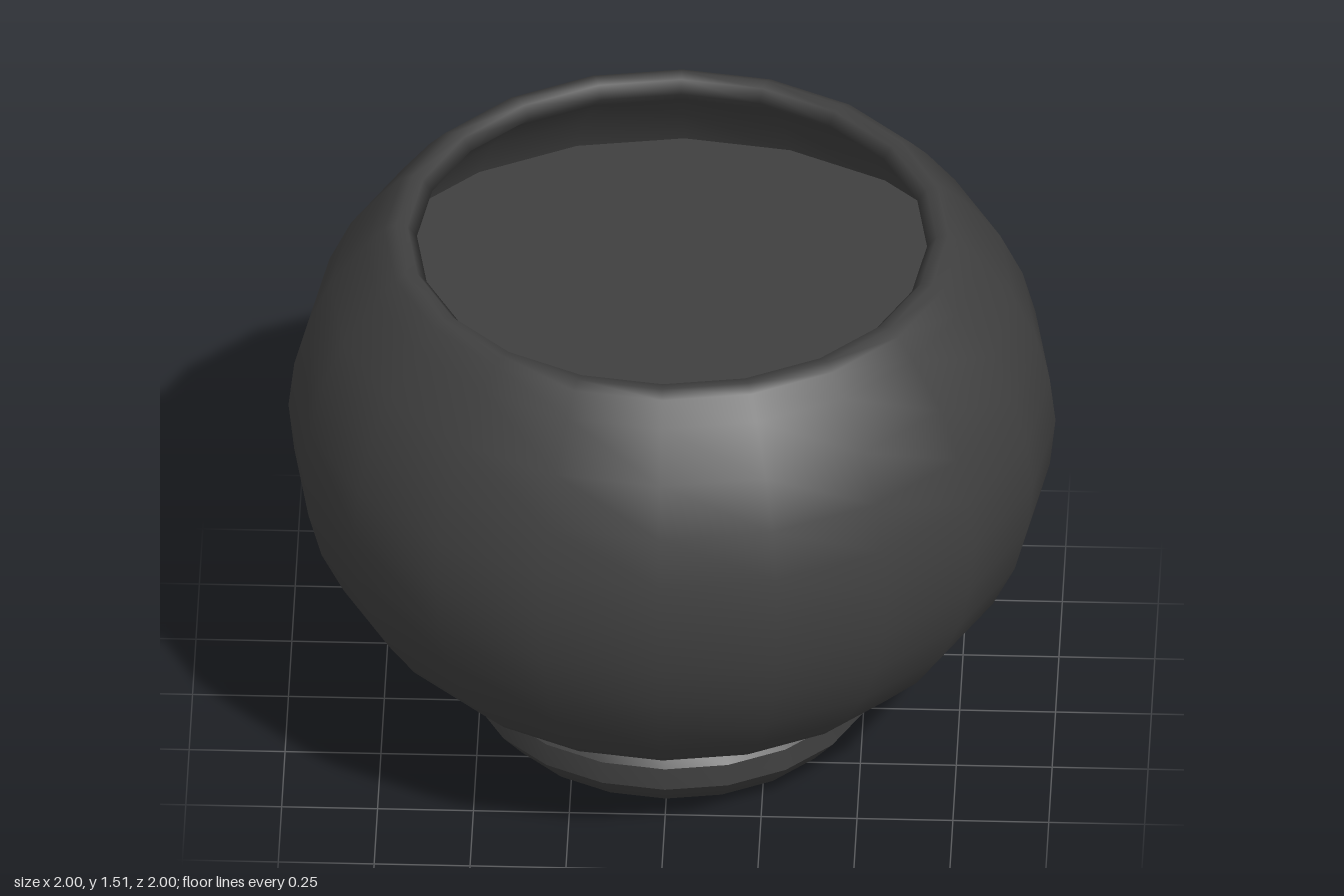
import * as THREE from 'three';
import { toCreasedNormals } from 'three/addons/utils/BufferGeometryUtils.js';

const SIDES = 20;

// Turn a list of [radius, height] pairs around the y axis
function turn(profile) {
  return new THREE.LatheGeometry(profile.map(([r, y]) => new THREE.Vector2(r, y)), SIDES);
}

export function createModel() {
  const group = new THREE.Group();
  const material = new THREE.MeshStandardMaterial({ color: 0x404040 });

  const add = (name, geometry) => {
    const mesh = new THREE.Mesh(geometry, material);
    mesh.name = name;
    group.add(mesh);
    return mesh;
  };

  // Round bowl: outside from the base up, over the rim, then down the inside
  add('bowl', turn([
    [0, 0.2], [0.5, 0.2], [0.585, 0.24], [0.71, 0.32], [0.81, 0.42], [0.89, 0.535],
    [0.95, 0.66], [0.985, 0.79], [1, 0.93], [0.985, 1.06], [0.95, 1.19],
    [0.89, 1.32], [0.8, 1.44], [0.75, 1.495], [0.72, 1.51], [0.69, 1.505], [0.665, 1.475],
    [0.75, 1.4], [0.84, 1.29], [0.9, 1.17], [0.94, 1.05], [0.95, 0.93],
    [0.93, 0.77], [0.85, 0.56], [0.68, 0.36], [0.48, 0.26], [0, 0.26],
  ]));

  // Hollow foot ring: flared inside, bevelled outside
  add('foot', toCreasedNormals(turn([
    [0.49, 0.2], [0.46, 0.1], [0.41, 0.05], [0.32, 0.005], [0.4, 0],
    [0.47, 0.03], [0.53, 0.1], [0.53, 0.165], [0.495, 0.205],
  ]), 0.65));

  // Flat soil surface inside the bowl
  const soil = add('soil', new THREE.CircleGeometry(0.9, SIDES));
  soil.rotation.x = -Math.PI / 2;
  soil.position.y = 1.17;

  return group;
}
